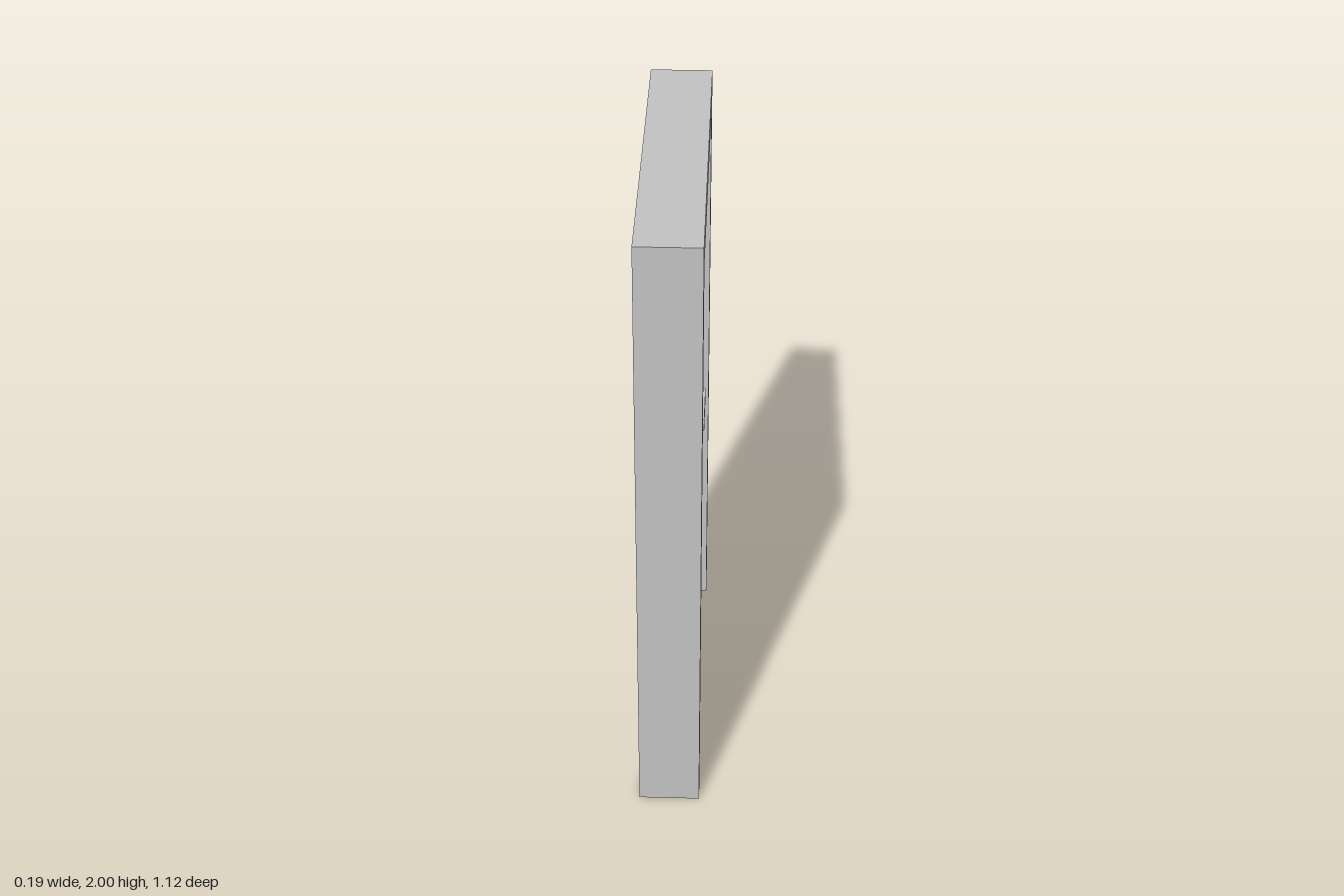
import * as THREE from 'three';

const grey = new THREE.MeshStandardMaterial({ color: 0xc4c4c4 });
grey.name = 'light grey';

// Slab from an outline in the door's plane, centred across the wall thickness
function slab(name, shape, halfDepth) {
  const geo = new THREE.ExtrudeGeometry(shape, { depth: halfDepth * 2, bevelEnabled: false });
  geo.translate(0, 0, -halfDepth).rotateY(Math.PI / 2);
  const mesh = new THREE.Mesh(geo, grey);
  mesh.name = name;
  return mesh;
}

const outline = (points) => points.map(([a, b]) => new THREE.Vector2(a, b));

// Surround open at the floor
function arch(outerHalf, outerTop, innerHalf, innerTop) {
  return new THREE.Shape(outline([
    [-outerHalf, 0], [-innerHalf, 0], [-innerHalf, innerTop], [innerHalf, innerTop],
    [innerHalf, 0], [outerHalf, 0], [outerHalf, outerTop], [-outerHalf, outerTop],
  ]));
}

function rect(half, bottom, top) {
  return outline([[-half, bottom], [half, bottom], [half, top], [-half, top]]);
}

function box(name, x0, x1, y0, y1, z0, z1) {
  const mesh = new THREE.Mesh(new THREE.BoxGeometry(x1 - x0, y1 - y0, z1 - z0), grey);
  mesh.position.set((x0 + x1) / 2, (y0 + y1) / 2, (z0 + z1) / 2);
  mesh.name = name;
  return mesh;
}

export function createModel() {
  const door = new THREE.Group();
  door.name = 'door';

  // Frame and the thin lining stepped back inside it
  door.add(slab('frame', arch(0.56, 2, 0.49, 1.91), 0.095));
  door.add(slab('frameLining', arch(0.49, 1.91, 0.48, 1.895), 0.063));

  // Door leaf: raised border around a recessed panel
  const border = new THREE.Shape(rect(0.48, 0, 1.895));
  border.holes.push(new THREE.Path(rect(0.42, 0.08, 1.815)));
  door.add(slab('leafBorder', border, 0.045));
  door.add(slab('leafPanel', new THREE.Shape(rect(0.42, 0.08, 1.815)), 0.018));

  // L-shaped lever on each side
  for (const side of [1, -1]) {
    const span = (a, b) => (side > 0 ? [a, b] : [-b, -a]);
    const handle = new THREE.Group();
    handle.name = side > 0 ? 'leftHandle' : 'rightHandle';
    handle.add(box('handlePost', ...span(0.018, 0.06), 0.91, 0.955, -0.37, -0.333));
    handle.add(box('handleLever', ...span(0.06, 0.087), 0.91, 0.955, -0.37, -0.185));
    door.add(handle);
  }
  return door;
}
